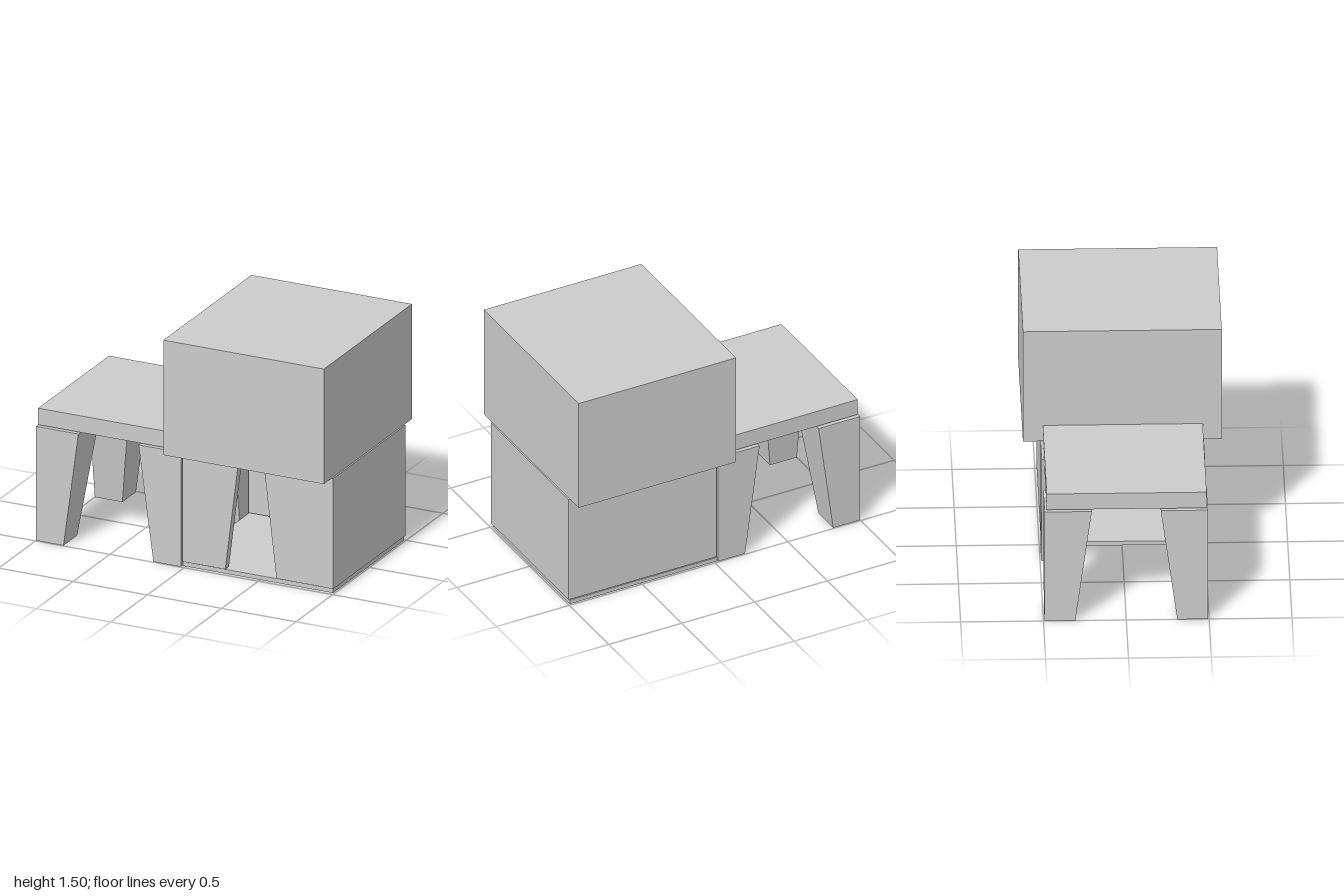
import * as THREE from 'three';

const material = new THREE.MeshStandardMaterial({ color: 0xcccccc, flatShading: true });

function add(group, name, geometry) {
  const mesh = new THREE.Mesh(geometry, material);
  mesh.name = name;
  group.add(mesh);
}

// Box given by its lower and upper limits
function block(x0, x1, y0, y1, z0, z1) {
  return new THREE.BoxGeometry(x1 - x0, y1 - y0, z1 - z0)
    .translate((x0 + x1) / 2, (y0 + y1) / 2, (z0 + z1) / 2);
}

// Leg with two upright outer faces at x and z, tapering inwards on the other two
function taperedLeg(x, z, dx, dz) {
  const height = 0.74, top = 0.285, bottom = 0.185;
  const g = new THREE.BoxGeometry(1, 1, 1);
  const p = g.attributes.position;
  for (let i = 0; i < p.count; i++) {
    const size = p.getY(i) > 0 ? top : bottom;
    p.setXYZ(i,
      x + dx * size * (0.5 + dx * p.getX(i)),
      height * (p.getY(i) + 0.5),
      z + dz * size * (0.5 + dz * p.getZ(i)));
  }
  g.computeVertexNormals();
  return g;
}

// Upright panel in the xy plane from outline points
function panel(points, z0, depth) {
  const shape = new THREE.Shape(points.map(([x, y]) => new THREE.Vector2(x, y)));
  return new THREE.ExtrudeGeometry(shape, { depth, bevelEnabled: false }).translate(0, 0, z0);
}

export function createModel() {
  const model = new THREE.Group();
  model.name = 'cabinetTable';

  // Table top and its four legs
  add(model, 'tableTop', block(-0.99, -0.09, 0.75, 0.857, -0.48, 0.485));
  for (const side of [1, -1]) {
    const end = side > 0 ? 'front' : 'back';
    add(model, end + 'OuterLeg', taperedLeg(-1, side * 0.493, 1, -side));
    add(model, end + 'InnerLeg', taperedLeg(-0.025, side * 0.493, -1, -side));
  }

  // Large upper cabinet
  add(model, 'upperCabinet', block(-0.09, 0.99, 0.75, 1.495, -0.6, 0.6));

  // Lower cabinet: floor, end wall, back wall, open towards the table
  const low = 0.034, high = 0.75;
  add(model, 'floor', block(-0.02, 0.99, 0, 0.027, -0.488, 0.475));
  add(model, 'endWall', block(0.912, 1, low, high, -0.49, 0.493));
  add(model, 'backWall', block(-0.015, 0.912, low, high, -0.49, -0.41));

  // Two front panels leaving a tapered opening
  add(model, 'frontPanelRight',
    panel([[-0.015, low], [0.272, low], [0.362, high], [-0.015, high]], 0.44, 0.05));
  add(model, 'frontPanelLeft',
    panel([[0.617, low], [0.912, low], [0.912, high], [0.532, high]], 0.44, 0.05));

  return model;
}
